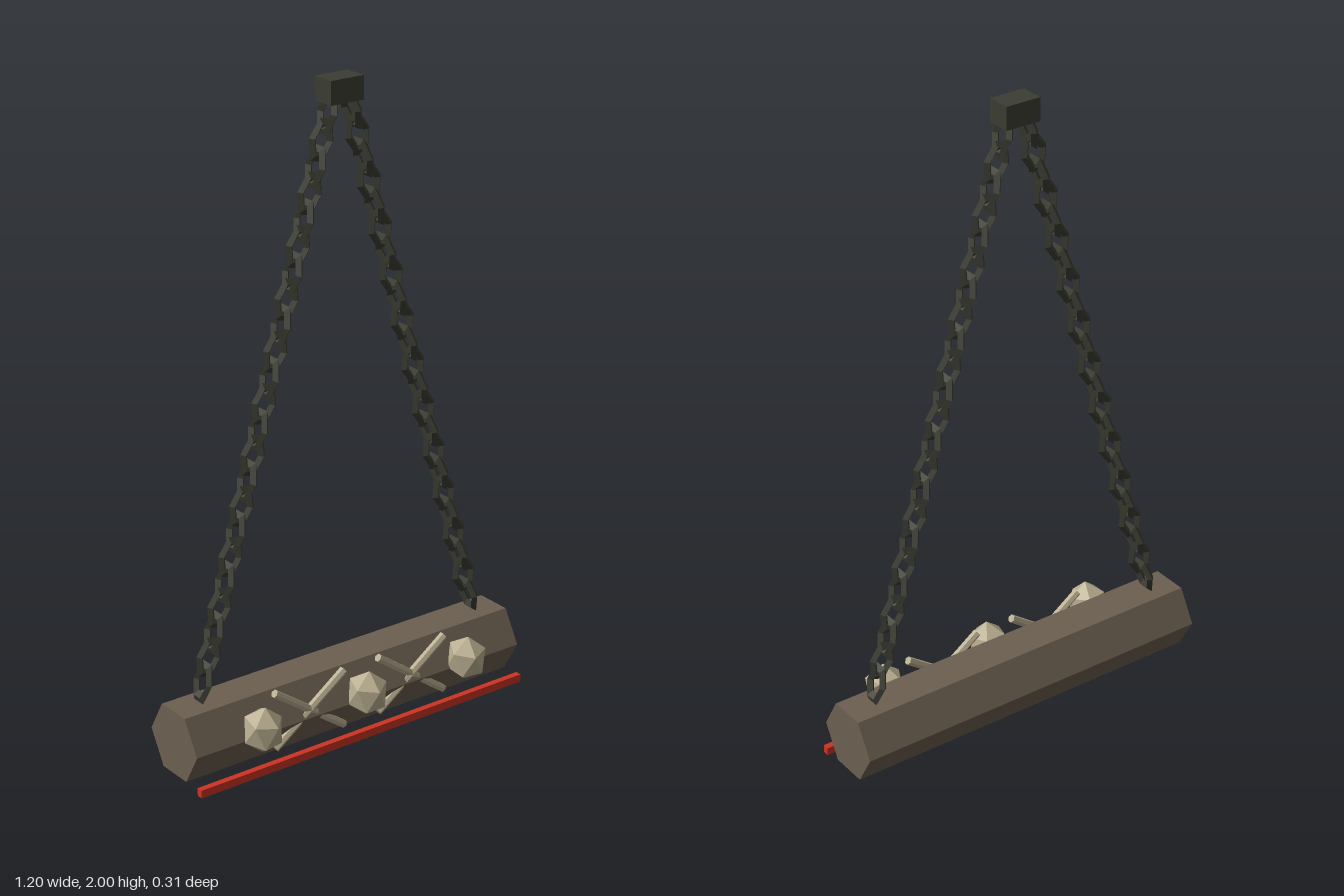
import * as THREE from 'three';

const Z = -0.037; // depth of the beam and chains

function material(name, color) {
  const m = new THREE.MeshStandardMaterial({ color, flatShading: true });
  m.name = name;
  return m;
}

export function createModel() {
  const wood = material('weathered wood', 0x6b5f50);
  const iron = material('dark iron', 0x3b3d32);
  const bone = material('old bone', 0xb8ad8f);
  const red = material('red trim', 0xcc3322);

  const model = new THREE.Group();
  model.name = 'hangingBeam';

  function add(name, geometry, mat, x, y, z, parent = model) {
    const mesh = new THREE.Mesh(geometry, mat);
    mesh.name = name;
    mesh.position.set(x, y, z);
    parent.add(mesh);
    return mesh;
  }

  // Hexagonal beam lying along x, and the strip below its front edge
  const beam = new THREE.CylinderGeometry(0.118, 0.118, 1.2, 6).rotateZ(Math.PI / 2);
  add('beam', beam, wood, 0, 0.121, Z);
  add('redStrip', new THREE.BoxGeometry(1.2, 0.025, 0.02), red, 0, 0.0125, 0.09);

  // Block from which the chains hang
  add('topBracket', new THREE.BoxGeometry(0.113, 0.07, 0.075), iron, 0, 1.965, Z);

  // Two chains of long six-sided links, each link turned a quarter from the last
  const link = new THREE.TorusGeometry(0.032, 0.012, 4, 6).scale(1, 1.6, 1);
  const count = 23;
  for (const side of [1, -1]) {
    const chain = new THREE.Group();
    chain.name = side > 0 ? 'leftChain' : 'rightChain';
    model.add(chain);
    for (let i = 0; i < count; i++) {
      const t = i / (count - 1);
      const mesh = add('chainLink', link, iron,
        side * (0.042 + 0.453 * t), 1.9 - 1.615 * t, Z, chain);
      // order XYZ: quarter turn about the link's own length, then the lean
      mesh.rotation.order = 'ZYX';
      mesh.rotation.set(0, i % 2 ? 0 : Math.PI / 2, side * 0.273);
    }
  }

  // Faceted bone knobs with one corner up, leaning slightly forward
  const knob = new THREE.IcosahedronGeometry(0.064, 0).rotateX(-0.87).scale(1, 1.18, 1);
  for (const i of [-1, 0, 1]) {
    add('boneKnob', knob, bone, i * 0.38, 0.15, 0.098).rotation.y = -i * 0.2;
  }

  // Crossed bones between the knobs
  const stick = new THREE.CylinderGeometry(0.013, 0.013, 0.31, 6);
  for (const side of [1, -1]) {
    const cross = new THREE.Group();
    cross.name = side > 0 ? 'leftCrossedBones' : 'rightCrossedBones';
    model.add(cross);
    for (const lean of [0.95, -0.95]) {
      add('crossBone', stick, bone, side * 0.19, 0.143, 0.066, cross).rotation.z = lean;
    }
  }

  return model;
}
